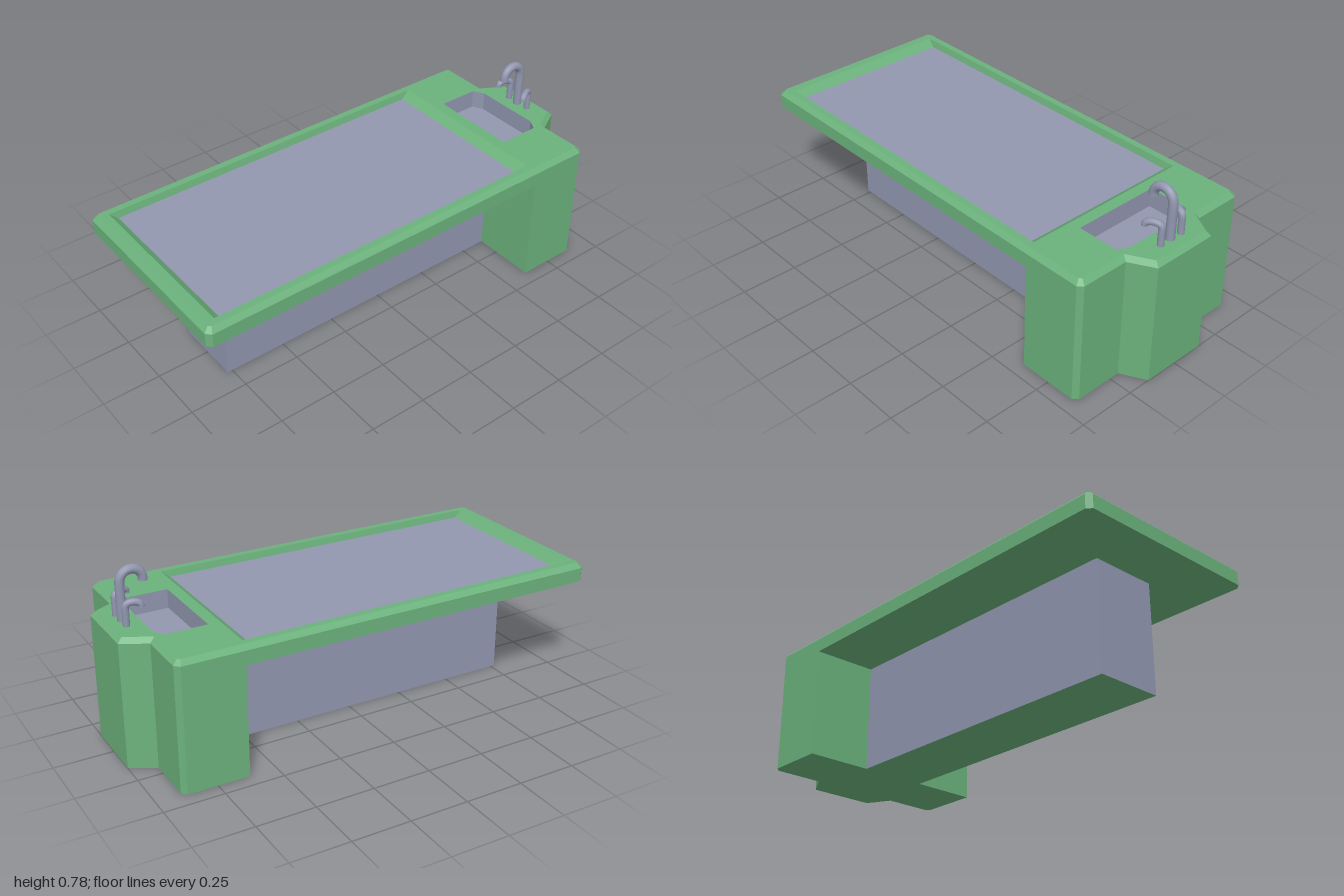
import * as THREE from 'three';

const green = new THREE.MeshStandardMaterial({ color: 0x6cb27c });
const grey = new THREE.MeshStandardMaterial({ color: 0x9297b0 });

const W = 0.437, TOP = 0.555, EDGE = 0.535, UNDER = 0.475, LEG_X = 0.615;

// Loops are [x, -z] points, counter-clockwise seen from above.
// Right-hand end with its tapered nose, from front to back.
const nose = (i, c) => {
  const x = 0.895 - i, w = W - i, n = i / 2;
  const half = [[x - c, -w], [x, -w + c], [x, -0.205 + n], [1 - i, -0.147 + n]];
  return [...half, ...half.map(([px, py]) => [px, -py]).reverse()];
};
const tableLoop = (i, c) => {
  const x = -1 + i, w = W - i;
  return [[x + c, -w], ...nose(i, c), [x + c, w], [x, w - c], [x, -w + c]];
};
const rect = (x0, x1, w) => [[x0, -w], [x1, -w], [x1, w], [x0, w]];
const reversed = (loop) => [...loop].reverse();

// Strip of flat quads between two matching loops
function band(lower, y0, upper, y1) {
  const pos = [];
  lower.forEach((a, i) => {
    const j = (i + 1) % lower.length;
    const p = ([x, s], y) => [x, y, -s];
    const a0 = p(a, y0), a1 = p(lower[j], y0), b0 = p(upper[i], y1), b1 = p(upper[j], y1);
    pos.push(...a0, ...a1, ...b1, ...a0, ...b1, ...b0);
  });
  const g = new THREE.BufferGeometry();
  g.setAttribute('position', new THREE.Float32BufferAttribute(pos, 3));
  g.computeVertexNormals();
  return g;
}

// Flat horizontal face, with optional holes, looking up or down
function cap(loop, y, holes = [], down = false) {
  const vec = (l) => l.map(([x, s]) => new THREE.Vector2(x, s));
  const shape = new THREE.Shape(vec(loop));
  holes.forEach((h) => shape.holes.push(new THREE.Path(vec(h))));
  const g = new THREE.ShapeGeometry(shape).rotateX(-Math.PI / 2).translate(0, y, 0);
  if (down) {
    g.index.array.reverse();
    g.computeVertexNormals();
  }
  return g;
}

function add(parent, name, geometry, material) {
  const mesh = new THREE.Mesh(geometry, material);
  mesh.name = name;
  parent.add(mesh);
  return mesh;
}

// Hooked pipe: rises at base, arcs over to tip (both [x, z])
function hook(parent, name, base, tip, bendY, rise, endY, radius) {
  const at = (t, y) => new THREE.Vector3(
    base[0] + (tip[0] - base[0]) * t, y, base[1] + (tip[1] - base[1]) * t);
  const pts = [at(0, TOP - 0.005), at(0, (TOP + bendY) / 2)];
  for (let i = 0; i <= 8; i++) {
    const a = (i / 8) * Math.PI;
    pts.push(at((1 - Math.cos(a)) / 2, bendY + rise * Math.sin(a)));
  }
  pts.push(at(1, endY));
  const curve = new THREE.CatmullRomCurve3(pts);
  const group = new THREE.Group();
  group.name = name;
  add(group, name + 'Pipe', new THREE.TubeGeometry(curve, 32, radius, 12), grey);
  const end = add(group, name + 'End', new THREE.CircleGeometry(radius, 12), grey);
  end.position.copy(curve.getPoint(1));
  end.rotation.x = Math.PI / 2;
  parent.add(group);
}

export function createModel() {
  const model = new THREE.Group();
  model.name = 'washTable';

  // Table top: edge, bevel and upper face with two openings
  const outer = tableLoop(0, 0.02), inner = tableLoop(0.02, 0.01);
  const trayRim = rect(-0.94, 0.605, 0.387), trayFloor = rect(-0.905, 0.565, 0.38);
  const sinkRim = [[0.655, -0.197], [0.835, -0.197], [0.862, -0.15],
    [0.862, 0.15], [0.835, 0.197], [0.655, 0.197]];
  const top = new THREE.Group();
  top.name = 'tableTop';
  model.add(top);
  add(top, 'tableEdge', band(outer, UNDER, outer, EDGE), green);
  add(top, 'tableBevel', band(outer, EDGE, inner, TOP), green);
  add(top, 'tableFace', cap(inner, TOP, [trayRim, sinkRim]), green);
  const slab = [[-0.98, -W], [LEG_X, -W], [LEG_X, W], [-0.98, W], [-1, W - 0.02], [-1, -W + 0.02]];
  add(top, 'tableUnderside', cap(slab, UNDER, [], true), green);

  // Shallow tray with sloped ends
  const trayY = 0.525;
  add(model, 'trayWalls', band(reversed(trayFloor), trayY, reversed(trayRim), TOP), green);
  add(model, 'trayFloor', cap(trayFloor, trayY), grey);

  // Sink basin
  const sinkY = 0.472;
  add(model, 'sinkWalls', band(reversed(sinkRim), sinkY, reversed(sinkRim), TOP), grey);
  add(model, 'sinkFloor', cap(sinkRim, sinkY), grey);

  // Solid end block under the sink
  const block = [[LEG_X, -W], ...nose(0, 0.02), [LEG_X, W]];
  add(model, 'endBlock', band(block, 0, block, UNDER), green);
  add(model, 'endBlockBase', cap(block, 0, [], true), green);

  // Pedestal under the tray, with a coloured base
  const pedestal = new THREE.BoxGeometry(LEG_X + 0.77, UNDER, 0.3);
  add(model, 'pedestal', pedestal, [grey, grey, grey, green, grey, grey])
    .position.set((LEG_X - 0.77) / 2, UNDER / 2, 0);

  // Faucet and its two side taps
  hook(model, 'faucet', [0.924, 0], [0.83, 0], 0.712, 0.047, 0.705, 0.019);
  hook(model, 'leftTap', [0.928, 0.057], [0.87, 0.085], 0.634, 0.017, 0.629, 0.014);
  hook(model, 'rightTap', [0.928, -0.055], [0.87, -0.069], 0.634, 0.017, 0.629, 0.014);

  return model;
}
